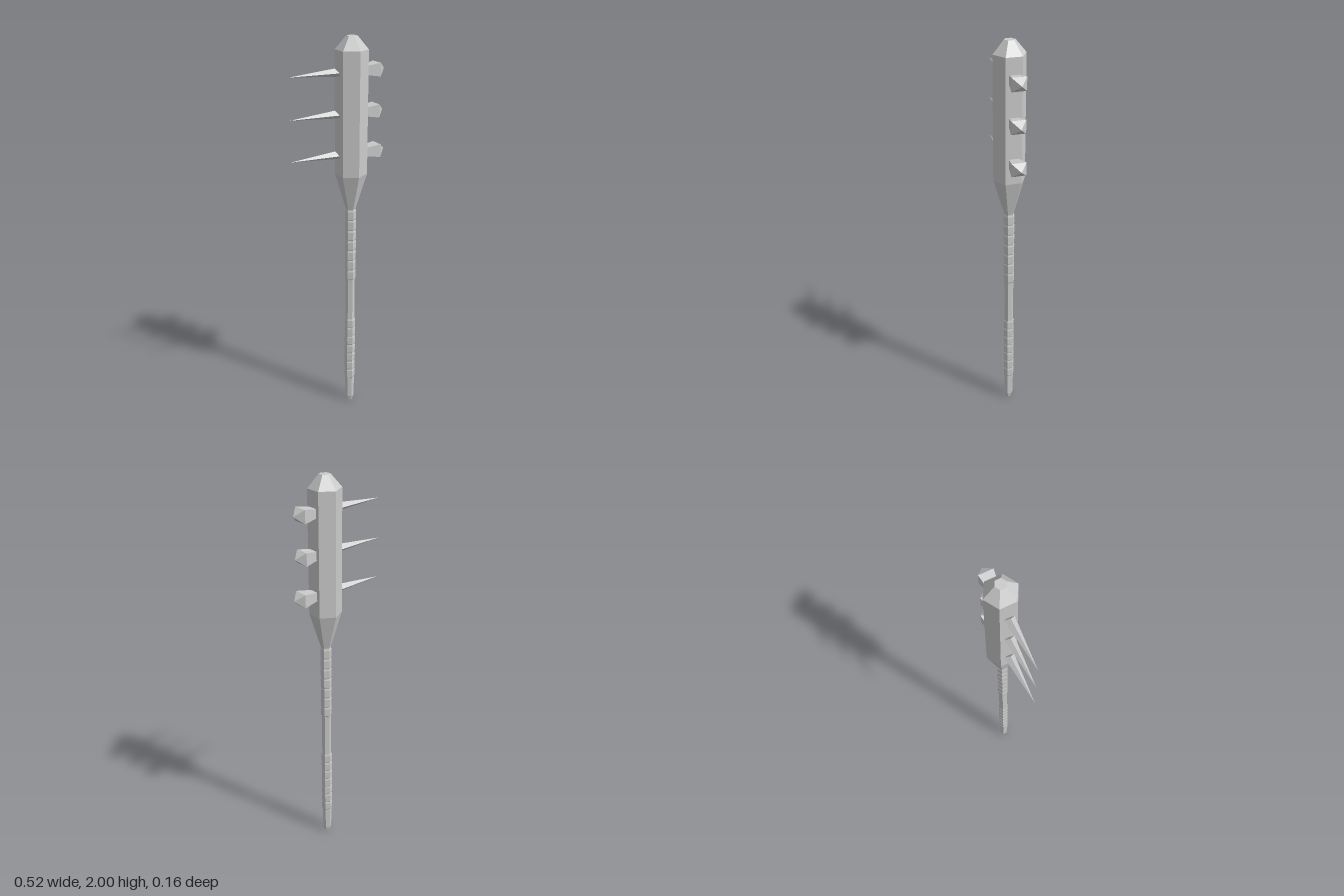
import * as THREE from 'three';

const AXIS_X = 0.073;

export function createModel() {
  const club = new THREE.Group();
  club.name = 'spikedClub';
  const material = new THREE.MeshStandardMaterial({ color: 0xcccccc, flatShading: true });

  // Turned solid from [radius, height] pairs, listed bottom to top
  const turned = (profile, sides, start = 0) =>
    new THREE.LatheGeometry(profile.map(([r, y]) => new THREE.Vector2(r, y)), sides, start);

  const add = (name, geometry, x, y) => {
    const mesh = new THREE.Mesh(geometry, material);
    mesh.name = name;
    mesh.position.set(x, y, 0);
    club.add(mesh);
    return mesh;
  };

  // Six-sided shaft with a rounded-off butt
  add('shaft', turned([
    [0, 0], [0.015, 0], [0.022, 0.025], [0.025, 0.15], [0.025, 0.5],
    [0.024, 0.52], [0.024, 0.74], [0.025, 0.76], [0.025, 1.15], [0, 1.15],
  ], 6), AXIS_X, 0);

  // Six-sided striking head, tapered into the shaft and bevelled at the top
  add('head', turned([
    [0, 1.13], [0.022, 1.135], [0.08, 1.33], [0.08, 1.937], [0.027, 2], [0, 2],
  ], 6), AXIS_X, 0);

  // Two grip wraps made of slightly overlapping rings
  for (const [name, bottom, top] of [['lowerWrap', 0.15, 0.515], ['upperWrap', 0.75, 1.14]]) {
    const rings = 7;
    const pitch = (top - bottom) / rings;
    const profile = [[0.024, bottom]];
    for (let i = 0; i < rings; i++) {
      const y = bottom + i * pitch;
      profile.push([0.0275, y + pitch * 0.12], [0.028, y + pitch * 0.85], [0.0255, y + pitch]);
    }
    add(name, turned(profile, 6), AXIS_X, 0);
  }

  // Long four-sided spike pointing to -x, its base leaning back from the head
  const spike = turned([[0, 0], [0.024, 0], [0, 0.255]], 4);
  spike.rotateZ(Math.PI / 2);
  const p = spike.attributes.position;
  for (let i = 0; i < p.count; i++) {
    const y = p.getY(i);
    p.setX(i, p.getX(i) - y * 0.55);
    p.setY(i, y * 0.85);
  }

  // Rows of spikes and flared square studs on opposite faces
  const rows = [[1.436, 0.007], [1.637, -0.004], [1.836, 0]];
  for (const [y, extra] of rows) {
    add('spike', spike, -0.004, y);
    const stud = turned([
      [0, 0], [0.031, 0], [0.051, 0.083 + extra], [0, 0.123 + extra],
    ], 4, Math.PI / 4);
    stud.rotateZ(-Math.PI / 2);
    stud.scale(1, 0.9, 1);
    add('stud', stud, 0.13, y);
  }

  return club;
}
